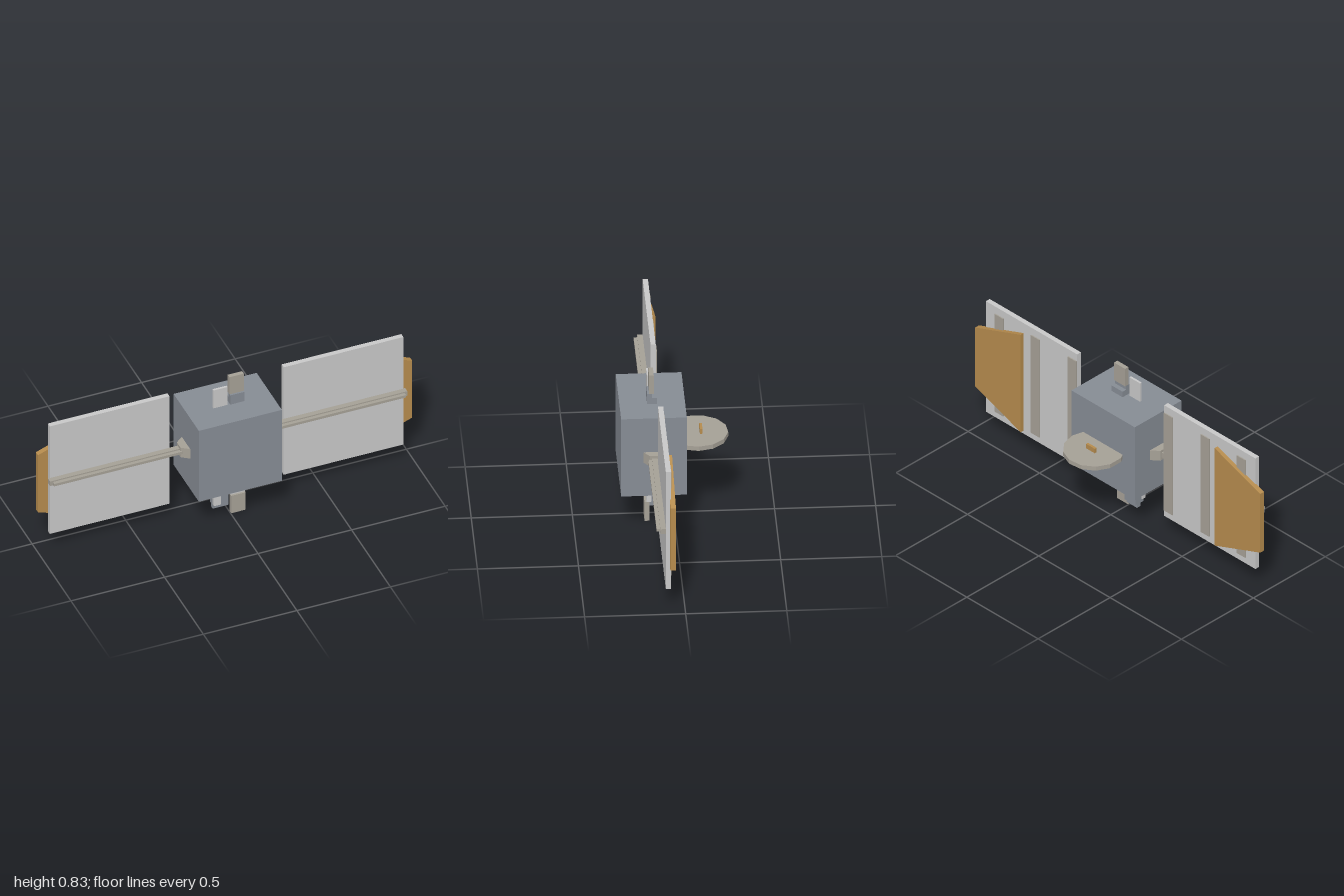
import * as THREE from 'three';

const material = (name, color) => {
  const m = new THREE.MeshStandardMaterial({ color });
  m.name = name;
  return m;
};

export function createModel() {
  const root = new THREE.Group();
  root.name = 'satellite';

  const slate = material('slate grey', 0x868c94);
  const silver = material('light grey', 0xc8c8c8);
  const stone = material('warm grey', 0xa5a096);
  const gold = material('gold', 0xb58b4d);

  const add = (name, geometry, mat, parent = root) => {
    const mesh = new THREE.Mesh(geometry, mat);
    mesh.name = name;
    parent.add(mesh);
    return mesh;
  };
  // Box from its limits along each axis
  const box = (name, mat, [x0, x1], [y0, y1], [z0, z1], parent) => {
    const g = new THREE.BoxGeometry(x1 - x0, y1 - y0, z1 - z0);
    g.translate((x0 + x1) / 2, (y0 + y1) / 2, (z0 + z1) / 2);
    return add(name, g, mat, parent);
  };
  // Straight extrusion of an outline
  const prism = (points, depth) => new THREE.ExtrudeGeometry(
    new THREE.Shape(points.map(([x, y]) => new THREE.Vector2(x, y))),
    { depth, bevelEnabled: false });

  box('body', slate, [-0.222, 0.222], [0.226, 0.667], [-0.053, 0.272]);

  // Wings: hinge, boom, panel with rear ribs, and outer gold plate
  for (const side of [1, -1]) {
    const wing = new THREE.Group();
    wing.name = side > 0 ? 'leftWing' : 'rightWing';
    root.add(wing);
    const span = (a, b) => (side > 0 ? [a, b] : [-b, -a]);

    // Tapered hinge, outlined in plan
    const plan = [[0.21, 0.053], [0.222, 0.053], [0.262, 0.085],
      [0.262, 0.132], [0.222, 0.162], [0.21, 0.162]].map(([x, z]) => [x * side, -z]);
    const hinge = prism(plan, 0.059);
    hinge.rotateX(-Math.PI / 2);
    hinge.translate(0, 0.416, 0);
    add('hinge', hinge, stone, wing);

    box('boom', stone, span(0.25, 0.955), [0.433, 0.461], [0.094, 0.122], wing);
    box('boomRail', stone, span(0.25, 0.94), [0.439, 0.454], [0.122, 0.14], wing);
    box('panel', silver, span(0.305, 0.945), [0.113, 0.782], [0.069, 0.095], wing);
    for (const x of [0.338, 0.595, 0.85]) {
      box('panelRib', stone, span(x - 0.03, x + 0.03), [0.15, 0.74], [0.063, 0.07], wing);
    }

    const plate = prism([[0.68, 0.132], [1, 0.25], [1, 0.605], [0.68, 0.722]]
      .map(([x, y]) => [x * side, y]), 0.027);
    plate.translate(0, 0, 0.048);
    add('goldPlate', plate, gold, wing);
  }

  // Rear dish and its feed
  const dish = new THREE.CylinderGeometry(0.155, 0.155, 0.024, 13).toNonIndexed();
  dish.computeVertexNormals();
  dish.rotateY(Math.PI / 2);
  dish.translate(0, 0.446, -0.116);
  add('dish', dish, stone);
  box('dishFeed', gold, [-0.031, 0.029], [0.407, 0.485], [-0.142, -0.129]);

  // Instruments on the roof
  box('roofSensor', silver, [-0.085, -0.01], [0.667, 0.778], [0.119, 0.131]);
  box('roofMount', slate, [0.003, 0.08], [0.66, 0.724], [0.11, 0.135]);
  box('roofMountStep', slate, [0.003, 0.08], [0.66, 0.7], [0.085, 0.11]);
  box('roofAntenna', stone, [0.003, 0.08], [0.724, 0.83], [0.102, 0.125]);

  // Instruments under the body
  box('cameraStrut', stone, [-0.085, -0.01], [0.155, 0.23], [0.11, 0.133]);
  box('cameraBody', slate, [-0.085, -0.01], [0.035, 0.135], [0.098, 0.121]);
  box('cameraBack', slate, [-0.085, -0.01], [0.055, 0.135], [0.087, 0.1]);
  box('cameraFront', slate, [-0.085, -0.01], [0.055, 0.157], [0.12, 0.144]);
  box('cameraLens', silver, [-0.091, -0.055], [0.075, 0.136], [0.13, 0.153]);
  box('lowerStrut', stone, [0.005, 0.08], [0.185, 0.23], [0.1, 0.116]);
  box('lowerSensor', silver, [0.003, 0.08], [0.108, 0.21], [0.114, 0.138]);
  box('lowerAntenna', stone, [0.003, 0.08], [0, 0.108], [0.123, 0.148]);

  return root;
}
